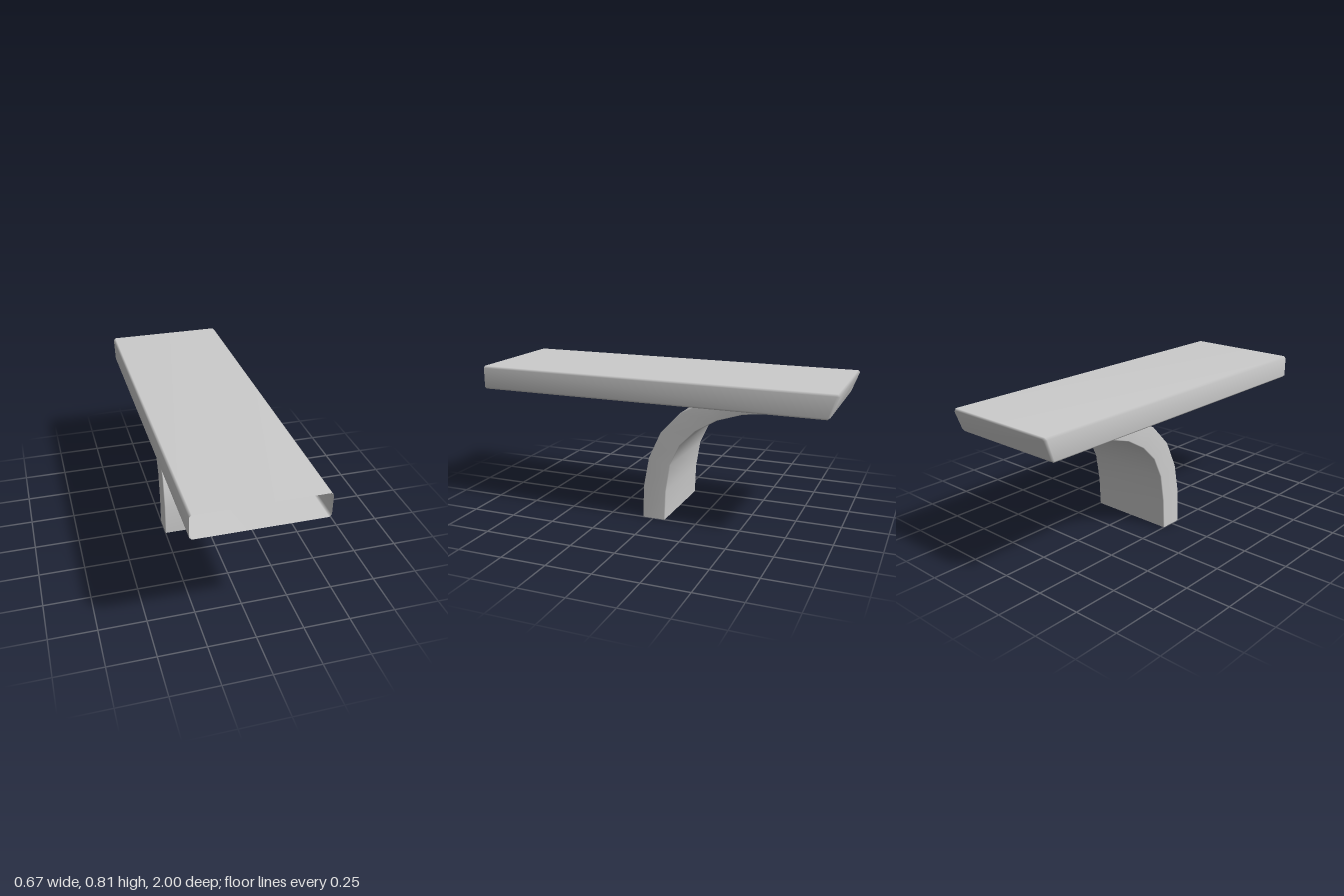
import * as THREE from 'three';

const material = new THREE.MeshStandardMaterial({ color: 0xcccccc, side: THREE.DoubleSide });

// Bevelled rectangle around the line lo -> hi (each [z, y]), widened by halfWidth in x
function ring(halfWidth, lo, hi, bevel) {
  const height = Math.hypot(hi[0] - lo[0], hi[1] - lo[1]);
  const t = Math.min(bevel / height, 0.4);
  const w = halfWidth, b = bevel;
  const outline = [
    [w - b, 0], [w, t], [w, 1 - t], [w - b, 1],
    [b - w, 1], [-w, 1 - t], [-w, t], [b - w, 0],
  ];
  return outline.map(([x, s]) => [
    x,
    lo[1] + (hi[1] - lo[1]) * s,
    lo[0] + (hi[0] - lo[0]) * s,
  ]);
}

// Skin over a row of rings, with smooth area-weighted normals
function loft(rings, capEnd) {
  const n = rings[0].length;
  const index = [];
  for (let i = 0; i < rings.length - 1; i++) {
    for (let k = 0; k < n; k++) {
      const a = i * n + k, b = i * n + (k + 1) % n;
      index.push(a, a + n, b, b, a + n, b + n);
    }
  }
  if (capEnd) {
    const s = (rings.length - 1) * n;
    for (let k = 1; k < n - 1; k++) index.push(s, s + k + 1, s + k);
  }
  const geometry = new THREE.BufferGeometry();
  geometry.setAttribute('position', new THREE.Float32BufferAttribute(rings.flat(2), 3));
  geometry.setIndex(index);
  geometry.computeVertexNormals();
  return geometry;
}

function addPart(group, name, geometry) {
  const mesh = new THREE.Mesh(geometry, material);
  mesh.name = name;
  group.add(mesh);
}

export function createModel() {
  const group = new THREE.Group();
  group.name = 'cantileverSlab';

  // Hollow slab: open at the front, slanted and bevelled at the back
  addPart(group, 'slab', loft([
    ring(0.335, [1, 0.673], [1, 0.805], 0.012),
    ring(0.335, [-0.943, 0.673], [-0.988, 0.805], 0.012),
    ring(0.323, [-0.957, 0.683], [-1, 0.797], 0.008),
  ], true));

  // Curved support: [back z, y, front z, y] from the open foot up into the slab
  const profile = [
    [-0.068, 0, 0.062, 0],
    [-0.075, 0.165, 0.057, 0.18],
    [-0.1, 0.32, 0.025, 0.35],
    [-0.155, 0.437, -0.045, 0.5],
    [-0.243, 0.525, -0.16, 0.62],
    [-0.36, 0.595, -0.29, 0.688],
    [-0.5, 0.64, -0.48, 0.708],
    [-0.83, 0.678, -0.83, 0.71],
  ];
  addPart(group, 'support', loft(
    profile.map(([bz, by, fz, fy]) => ring(0.25, [bz, by], [fz, fy], 0.005)), false));

  return group;
}
